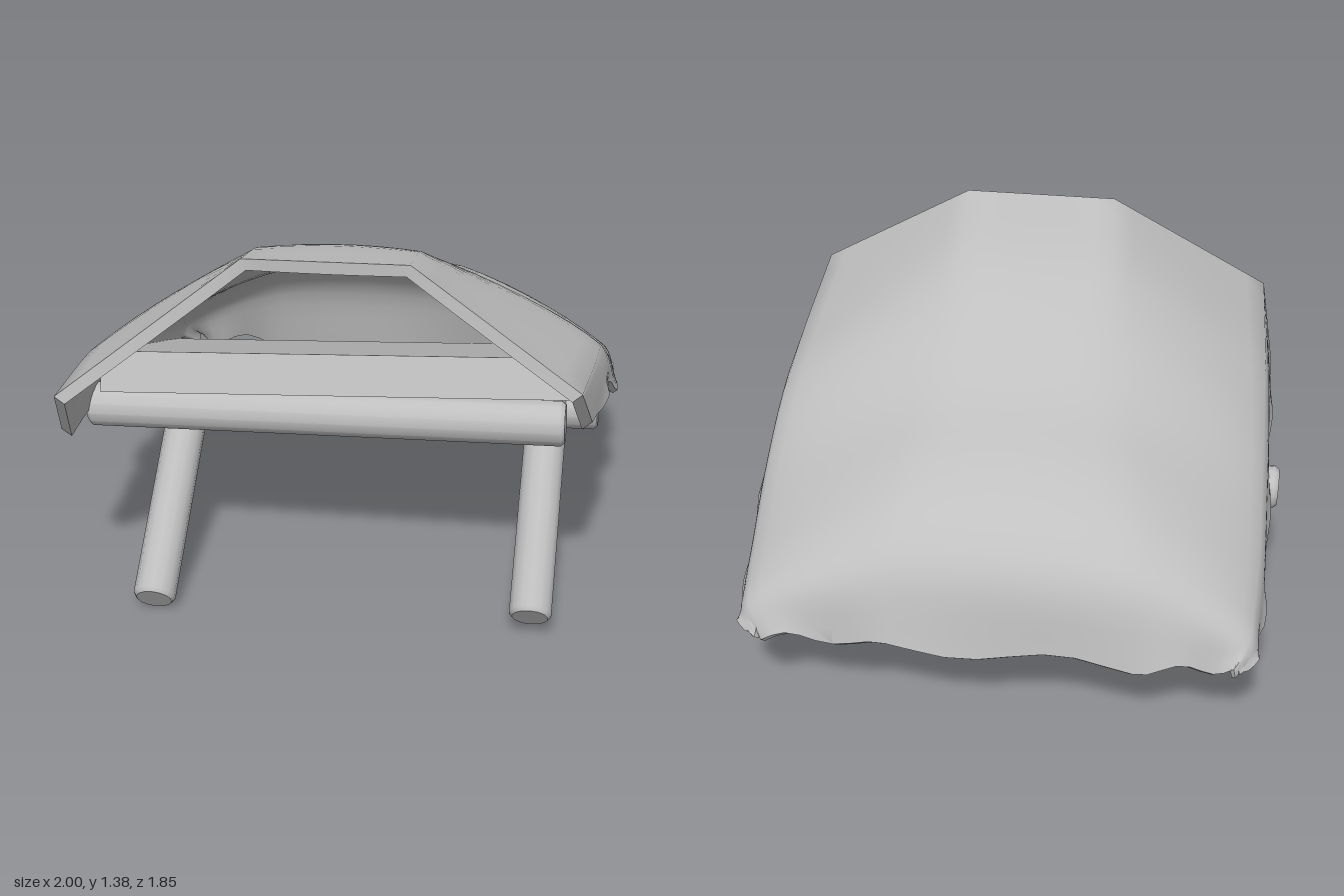
import * as THREE from 'three';
import { toCreasedNormals } from 'three/addons/utils/BufferGeometryUtils.js';

const V = (x, y, z) => new THREE.Vector3(x, y, z);
const clamp = THREE.MathUtils.clamp;

// Round pole with softly chamfered ends, running from a to b
function pole(name, a, b, r, material) {
  const dir = b.clone().sub(a), L = dir.length(), c = 0.015;
  const profile = [[0, 0], [r * 0.84, 0], [r, c], [r, L - c], [r * 0.84, L], [0, L]]
    .map(p => new THREE.Vector2(p[0], p[1]));
  const mesh = new THREE.Mesh(toCreasedNormals(new THREE.LatheGeometry(profile, 14), 0.8), material);
  mesh.name = name;
  mesh.position.copy(a);
  mesh.quaternion.setFromUnitVectors(V(0, 1, 0), dir.normalize());
  return mesh;
}

// Thick draped sheet lofted from cross-sections, front to back
function canopyGeometry() {
  // z, ridge height, left x, left hem height, right x, right hem height
  const stations = [
    [0.73, 1.39, -0.99, 0.70, 0.88, 0.83],
    [0.38, 1.295, -0.98, 0.67, 0.93, 0.74],
    [0.15, 1.195, -0.97, 0.61, 0.95, 0.70],
    [-0.20, 1.005, -0.955, 0.52, 0.98, 0.53],
    [-0.50, 0.89, -0.94, 0.41, 0.985, 0.41],
    [-0.68, 0.785, -0.92, 0.37, 0.985, 0.37],
    [-0.81, 0.64, -0.90, 0.355, 0.975, 0.36],
    [-0.87, 0.36, -0.84, 0.345, 0.92, 0.35],
  ];
  // Six guide lines: hem, shoulder and ridge on each side
  const guides = [[], [], [], [], [], []];
  for (const [z, top, xl, hl, xr, hr] of stations) {
    const flare = clamp((z - 0.3) / 0.43, 0, 1);
    const back = clamp(-z, 0, 1), lift = 0.32;
    const section = [
      V(xl, hl, z),
      V(xl * 0.965, hl + lift * (top - hl), z + 0.19 * flare),
      V(-0.33 - 0.15 * back, top - 0.01, z - 0.025 * back),
      V(0.25 + 0.2 * back, top, z - 0.025 * back + 0.02 * flare),
      V(xr * 0.955, hr + lift * (top - hr), z + 0.16 * flare),
      V(xr, hr, z),
    ];
    section.forEach((p, k) => {
      p.z += 0.07 * p.x * back;
      guides[k].push(p);
    });
  }
  const curves = guides.map(g => new THREE.CatmullRomCurve3(g));

  // Angular section at the front, softening towards the back
  const rows = 30, cols = 40, outer = [], inner = [], index = [];
  for (let i = 0; i <= rows; i++) {
    const v = i / rows;
    const pts = curves.map(c => c.getPoint(v));
    const smooth = new THREE.CatmullRomCurve3(pts);
    for (let j = 0; j <= cols; j++) {
      const u = j / cols, s = Math.min(4, Math.floor(u * 5));
      const p = pts[s].clone().lerp(pts[s + 1], u * 5 - s);
      p.lerp(smooth.getPoint(u), 0.8 * Math.min(1, v * 3));
      // Ragged hem along the sides and back, calm at the corners
      const side = clamp((Math.abs(u - 0.5) - 0.42) / 0.08, 0, 1) * Math.min(1, v * 4);
      const rear = clamp((v - 0.9) / 0.1, 0, 1);
      const sideWave = side * (1 - rear), rearWave = rear * (1 - side);
      p.y += 0.014 * sideWave * Math.sin(i * 1.5) + 0.022 * rearWave * Math.sin(j * 1.1);
      p.x += 0.01 * sideWave * Math.sin(i * 0.9 + u * 3);
      p.z += 0.012 * rearWave * Math.sin(j * 0.75);
      outer.push(p.x, p.y, p.z);
      // Inner face is set in towards the hollow below, thinner at the hem
      const inset = V(p.x * 0.8, 0.6, 1.8 * Math.min(0, p.z + 0.5));
      p.sub(inset.setLength(0.045 - 0.022 * Math.max(side, rear)));
      inner.push(p.x, p.y, p.z);
    }
  }
  const n = cols + 1, count = n * (rows + 1);
  for (let i = 0; i < rows; i++) for (let j = 0; j < cols; j++) {
    const a = i * n + j, b = a + 1, c = a + n, d = c + 1;
    index.push(a, b, c, b, d, c);
    index.push(a + count, c + count, b + count, b + count, c + count, d + count);
  }

  // Rim closing the two faces
  const loop = [];
  for (let j = 0; j < cols; j++) loop.push(j);
  for (let i = 0; i < rows; i++) loop.push(i * n + cols);
  for (let j = cols; j > 0; j--) loop.push(rows * n + j);
  for (let i = rows; i > 0; i--) loop.push(i * n);
  loop.forEach((p, k) => {
    const q = loop[(k + 1) % loop.length];
    index.push(p + count, q + count, q, p + count, q, p);
  });

  const shell = new THREE.BufferGeometry();
  shell.setAttribute('position', new THREE.Float32BufferAttribute(outer.concat(inner), 3));
  shell.setIndex(index);
  return toCreasedNormals(shell, 0.9);
}

// Slab that thins towards the back
function bedGeometry() {
  const geometry = new THREE.BoxGeometry(1.72, 0.15, 1.34);
  const pos = geometry.attributes.position;
  for (let i = 0; i < pos.count; i++) {
    if (pos.getZ(i) > 0) continue;
    pos.setX(i, pos.getX(i) * 0.98);
    pos.setY(i, pos.getY(i) > 0 ? 0 : -0.045);
  }
  geometry.computeVertexNormals();
  return geometry;
}

export function createModel() {
  const model = new THREE.Group();
  model.name = 'leanToShelter';
  const grey = new THREE.MeshStandardMaterial({ color: 0xc0c0c0 });
  grey.name = 'plain grey';

  const canopy = new THREE.Mesh(canopyGeometry(), grey);
  canopy.name = 'canopy';
  model.add(canopy);

  // Three cross logs, stepping down towards the back
  model.add(pole('frontLog', V(-0.96, 0.65, 0.41), V(0.79, 0.70, 0.49), 0.083, grey));
  model.add(pole('middleLog', V(-1.0, 0.525, 0.0), V(0.91, 0.585, 0.11), 0.083, grey));
  model.add(pole('backLog', V(-0.84, 0.39, -0.44), V(0.92, 0.44, -0.36), 0.083, grey));

  // Leaning front props
  model.add(pole('leftProp', V(0.695, 0.095, 0.83), V(0.72, 0.62, 0.13), 0.077, grey));
  model.add(pole('rightProp', V(-0.67, 0.06, 0.8), V(-0.65, 0.57, 0.06), 0.077, grey));

  // Sloping bed resting on the logs
  const bed = new THREE.Mesh(bedGeometry(), grey);
  bed.name = 'bed';
  bed.position.set(-0.04, 0.624, -0.156);
  bed.rotation.set(-0.33, 0, 0.03);
  model.add(bed);

  // Slack cords hanging under the back
  const cords = [
    [V(-0.8, 0.45, -0.47), V(-0.5, 0.29, -0.49), V(-0.2, 0.21, -0.5), V(0.02, 0.195, -0.5),
      V(0.25, 0.215, -0.51), V(0.5, 0.29, -0.52), V(0.72, 0.42, -0.53)],
    [V(-0.75, 0.42, -0.53), V(-0.58, 0.25, -0.54), V(-0.44, 0.205, -0.55),
      V(-0.33, 0.235, -0.555), V(-0.2, 0.33, -0.56), V(-0.08, 0.46, -0.57)],
  ];
  for (const points of cords) {
    const curve = new THREE.CatmullRomCurve3(points);
    const cord = new THREE.Mesh(new THREE.TubeGeometry(curve, 28, 0.009, 6), grey);
    cord.name = 'cord';
    model.add(cord);
  }
  return model;
}
